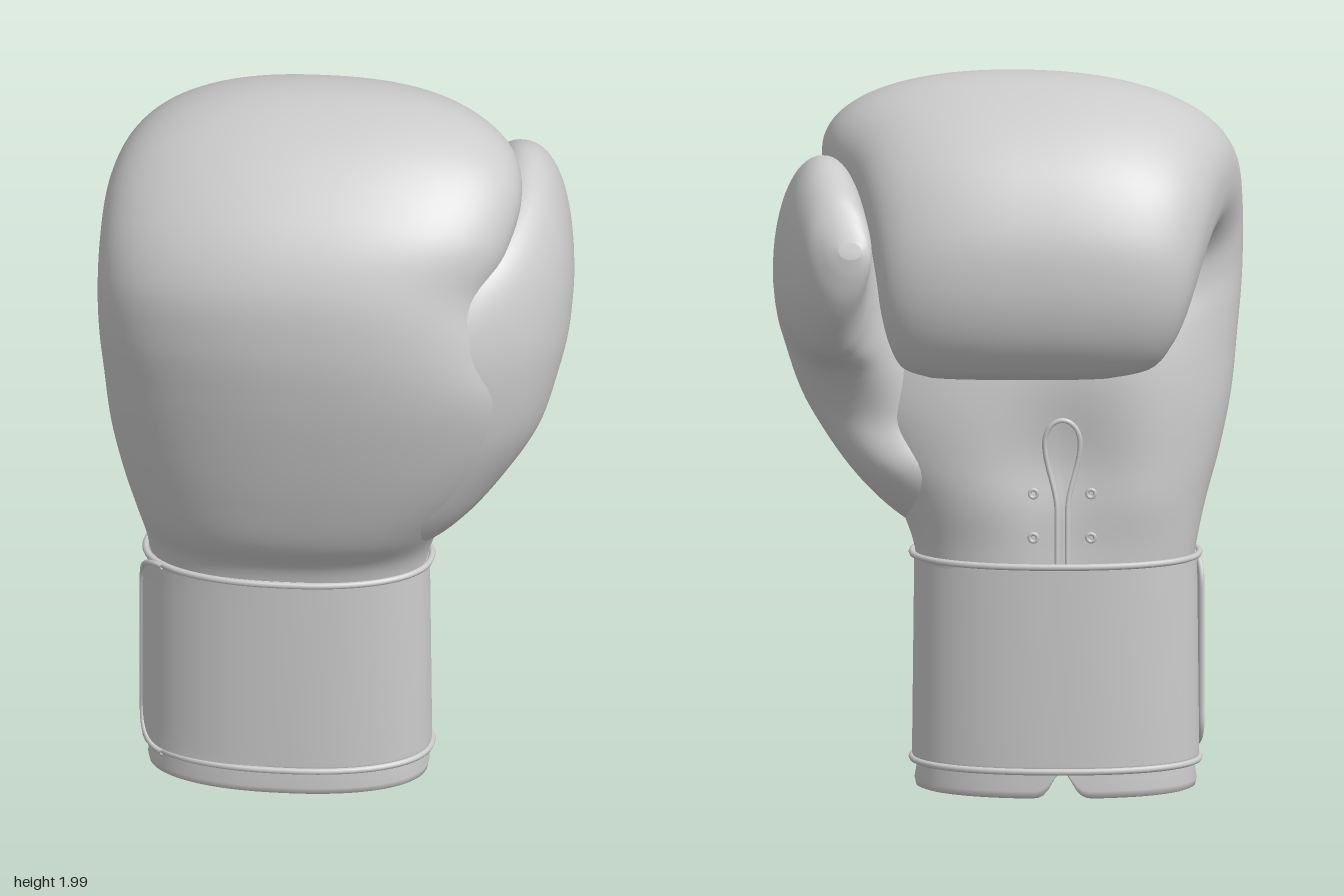
import * as THREE from 'three';

const material = new THREE.MeshStandardMaterial({ color: 0xcccccc, side: THREE.DoubleSide });
const TAU = Math.PI * 2;

// Signed power: turns a circle into a rounded-box section
const sp = (v, n) => Math.sign(v) * Math.pow(Math.abs(v), 2 / n);
const gauss = (v, w) => Math.exp(-((v / w) ** 2));

function addMesh(group, name, geometry) {
  const mesh = new THREE.Mesh(geometry, material);
  mesh.name = name;
  group.add(mesh);
  return mesh;
}

// Smooth grid surface from point(i, j); columns may wrap round
function gridSurface(rows, cols, point, wrap = true) {
  const pos = [], index = [];
  const n = wrap ? cols : cols + 1;
  for (let i = 0; i <= rows; i++) for (let j = 0; j < n; j++) pos.push(...point(i, j));
  for (let i = 0; i < rows; i++) {
    for (let j = 0; j < cols; j++) {
      const k = (j + 1) % n;
      const a = i * n + j, b = a + n, c = (i + 1) * n + k, d = i * n + k;
      index.push(a, b, d, b, c, d);
    }
  }
  const g = new THREE.BufferGeometry();
  g.setAttribute('position', new THREE.Float32BufferAttribute(pos, 3));
  g.setIndex(index);
  g.computeVertexNormals();
  return g;
}

// Catmull-Rom interpolation of every column of a station list
function sampleStations(st, t) {
  const f = t * (st.length - 1);
  const i = Math.min(Math.floor(f), st.length - 2), u = f - i;
  const at = (k) => st[Math.max(0, Math.min(st.length - 1, k))];
  return st[0].map((_, c) => {
    const [p0, p1, p2, p3] = [at(i - 1)[c], at(i)[c], at(i + 1)[c], at(i + 2)[c]];
    return p1 + 0.5 * u * (p2 - p0 + u * (2 * p0 - 5 * p1 + 4 * p2 - p3 + u * (3 * (p1 - p2) + p3 - p0)));
  });
}

// Curled padded form. Station: outer z, y, inner z, y, right x, left x inner, left x outer, outer squareness
function paddedForm(stations, innerPower, rows, cols, warp) {
  return gridSurface(rows + 2, cols, (i, j) => {
    const t = Math.min(Math.max((i - 1) / rows, 0), 1);
    const [oz, oy, iz, iy, x0, x1i, x1o, outerPower] = sampleStations(stations, t);
    const shrink = i === 0 || i === rows + 2 ? 0 : 1;
    const a = (j / cols) * TAU;
    const power = Math.sin(a) > 0 ? outerPower : innerPower;
    const v = 0.5 + 0.5 * shrink * sp(Math.sin(a), power);
    const x1 = x1i + (x1o - x1i) * v;
    const x = (x0 + x1) / 2 + (shrink * (x1 - x0) * sp(Math.cos(a), power)) / 2;
    return warp([x, iy + (oy - iy) * v, iz + (oz - iz) * v], t, v);
  });
}

const handStations = [
  [0.28, 0.6, -0.11, 0.6, -0.5, 0.24, 0.24, 2.3],
  [0.3, 0.7, -0.115, 0.7, -0.515, 0.26, 0.26, 2.3],
  [0.37, 0.8, -0.128, 0.82, -0.54, 0.31, 0.31, 2.3],
  [0.42, 0.95, -0.122, 0.93, -0.575, 0.38, 0.42, 2.25],
  [0.46, 1.12, -0.11, 1.06, -0.605, 0.42, 0.51, 2.2],
  [0.49, 1.3, -0.09, 1.18, -0.62, 0.4, 0.55, 2.2],
  [0.5, 1.47, -0.06, 1.28, -0.632, 0.36, 0.51, 2.2],
  [0.475, 1.64, -0.03, 1.36, -0.636, 0.35, 0.47, 2.2],
  [0.38, 1.8, -0.02, 1.42, -0.635, 0.37, 0.55, 2.2],
  [0.2, 1.945, -0.04, 1.45, -0.628, 0.39, 0.59, 2.2],
  [0, 2, -0.08, 1.45, -0.608, 0.38, 0.565, 2.2],
  [-0.2, 1.955, -0.12, 1.43, -0.58, 0.35, 0.47, 2.3],
  [-0.37, 1.83, -0.16, 1.4, -0.55, 0.35, 0.4, 2.45],
  [-0.47, 1.66, -0.19, 1.36, -0.52, 0.34, 0.365, 2.5],
  [-0.497, 1.5, -0.21, 1.32, -0.49, 0.33, 0.345, 2.5],
  [-0.475, 1.36, -0.225, 1.28, -0.45, 0.31, 0.32, 2.4],
  [-0.415, 1.26, -0.245, 1.245, -0.395, 0.28, 0.28, 2.3],
  [-0.35, 1.222, -0.28, 1.225, -0.29, 0.21, 0.21, 2.3],
];

const thumbStations = [
  [0.22, 0.71, 0.02, 0.72, 0.02, 0.25, 0.25, 2.1],
  [0.3, 0.79, -0.03, 0.8, 0.04, 0.35, 0.36, 2.1],
  [0.37, 0.92, -0.07, 0.91, 0.08, 0.455, 0.465, 2.1],
  [0.42, 1.15, -0.05, 1.05, 0.15, 0.57, 0.58, 2.1],
  [0.42, 1.4, -0.11, 1.18, 0.24, 0.615, 0.635, 2.1],
  [0.31, 1.6, -0.2, 1.24, 0.32, 0.63, 0.64, 2.1],
  [0.08, 1.735, -0.28, 1.28, 0.37, 0.63, 0.63, 2.1],
  [-0.13, 1.79, -0.35, 1.36, 0.39, 0.62, 0.605, 2.1],
  [-0.29, 1.74, -0.395, 1.44, 0.4, 0.58, 0.58, 2.1],
  [-0.365, 1.665, -0.412, 1.51, 0.41, 0.54, 0.54, 2.1],
  [-0.4, 1.61, -0.415, 1.57, 0.44, 0.5, 0.5, 2.1],
];

const SLOT_X = -0.15;

// Hollow in the middle of the palm
const palmHollow = ([x, y, z], t, v) =>
  [x, y, z + (t < 0.4 ? 0.06 * (1 - v) * gauss(x - SLOT_X, 0.17) * gauss(y - 0.92, 0.22) : 0)];

// Thumb bows round the side of the hand
const thumbBow = ([x, y, z]) => [x - (z > 0 ? 0.95 : 0.3) * z * z, y, z];

// Point on the wrist oval, pushed out by an offset
const wristPoint = (a, y, off = 0) => [
  -0.13 + (0.38 + off) * sp(Math.cos(a), 2.25),
  y,
  0.09 + (0.203 + off) * sp(Math.sin(a), 2.25),
];

function tube(points, radius, closed, segments = 160) {
  const curve = new THREE.CatmullRomCurve3(points.map((p) => new THREE.Vector3(...p)), closed);
  return new THREE.TubeGeometry(curve, segments, radius, 8, closed);
}

export function createModel() {
  const group = new THREE.Group();

  // Padded hand, curling over at the top, and thumb
  const hand = addMesh(group, 'hand', paddedForm(handStations, 2.4, 110, 96, palmHollow));
  addMesh(group, 'thumb', paddedForm(thumbStations, 2.1, 70, 56, thumbBow));

  // Hollow lining with a notch under the palm: offset, height
  const lining = [[-0.2, 0.58], [-0.06, 0.57], [-0.04, 0.5], [-0.03, 0.25], [-0.025, 0.06],
    [-0.022, 0.02], [-0.012, 0.008], [-0.002, 0.012], [0.002, 0.03], [-0.004, 0.065], [-0.004, 0.12]];
  addMesh(group, 'wristLining', gridSurface(lining.length - 1, 200, (i, j) => {
    const [off, y] = lining[i];
    const p = wristPoint((j / 200) * TAU, y, off);
    if (p[2] < 0 && y < 0.1) p[1] += (0.1 - y) * 0.85 * gauss(p[0] - SLOT_X, 0.035);
    return p;
  }));

  // Wrist strap with its turned edges
  const strap = [[-0.008, 0.082], [0.006, 0.082], [0.009, 0.1], [0.006, 0.37], [0.003, 0.64], [0, 0.655], [-0.03, 0.66]];
  addMesh(group, 'wristStrap', gridSurface(strap.length - 1, 128, (i, j) =>
    wristPoint((j / 128) * TAU, strap[i][1], strap[i][0])));
  for (const [name, y] of [['lowerPiping', 0.086], ['upperPiping', 0.653]]) {
    const ring = Array.from({ length: 96 }, (_, j) => wristPoint((j / 96) * TAU, y, 0.009));
    addMesh(group, name, tube(ring, 0.009, true, 192));
  }

  // Strap flap with a round-cornered end, lapped over the right side
  const flapEnd = 3.02, corner = 0.1;
  const flapPoint = (s, v) => {
    const y = 0.086 + 0.567 * v;
    const d = Math.min(y - 0.086, 0.653 - y);
    const k = d < corner ? 1 - Math.sqrt(Math.max(0, 1 - (1 - d / corner) ** 2)) : 0;
    const a = 1.6 + (flapEnd - 0.5 * k - 1.6) * s;
    return wristPoint(a, y, 0.008 + 0.01 * s);
  };
  addMesh(group, 'strapFlap', gridSurface(40, 40, (i, j) => flapPoint(j / 40, i / 40), false));
  const edge = Array.from({ length: 41 }, (_, i) => flapPoint(1, 0.5 - 0.5 * Math.cos((i / 40) * Math.PI)));
  addMesh(group, 'flapPiping', tube(edge, 0.008, false));

  // Find the palm surface so the lacing slot lies on it
  hand.updateMatrixWorld();
  const ray = new THREE.Raycaster();
  const onPalm = (x, y, lift) => {
    ray.set(new THREE.Vector3(x, y, -0.6), new THREE.Vector3(0, 0, 1));
    return [x, y, ray.intersectObject(hand)[0].point.z - lift];
  };

  // Keyhole slot: narrow stem opening into a rounded bulb
  const slotWidth = (t) => (t < 0.85
    ? 0.014 + 0.034 * THREE.MathUtils.smoothstep(t, 0.4, 0.85)
    : 0.048 * Math.sqrt(Math.max(0, 1 - ((t - 0.85) / 0.15) ** 2)));
  const slotPoint = (side, u, lift) => {
    const t = Math.sin((u * Math.PI) / 2);
    return onPalm(SLOT_X + side * slotWidth(t), 0.63 + 0.42 * t, lift);
  };
  addMesh(group, 'palmSlot', gridSurface(32, 6, (i, j) => slotPoint(1 - j / 3, i / 32, 0.004), false));
  const rim = [];
  for (let i = 0; i < 32; i++) rim.push(slotPoint(-1, i / 32, 0.003));
  for (let i = 32; i >= 0; i--) rim.push(slotPoint(1, i / 32, 0.003));
  addMesh(group, 'slotRim', tube(rim, 0.007, false));

  // Lace eyelets beside the slot
  for (const side of [-1, 1]) {
    for (const y of [0.73, 0.85]) {
      const eyelet = addMesh(group, 'eyelet', new THREE.TorusGeometry(0.011, 0.005, 8, 20));
      eyelet.position.set(...onPalm(SLOT_X + side * 0.078, y, 0.002));
    }
  }
  return group;
}
